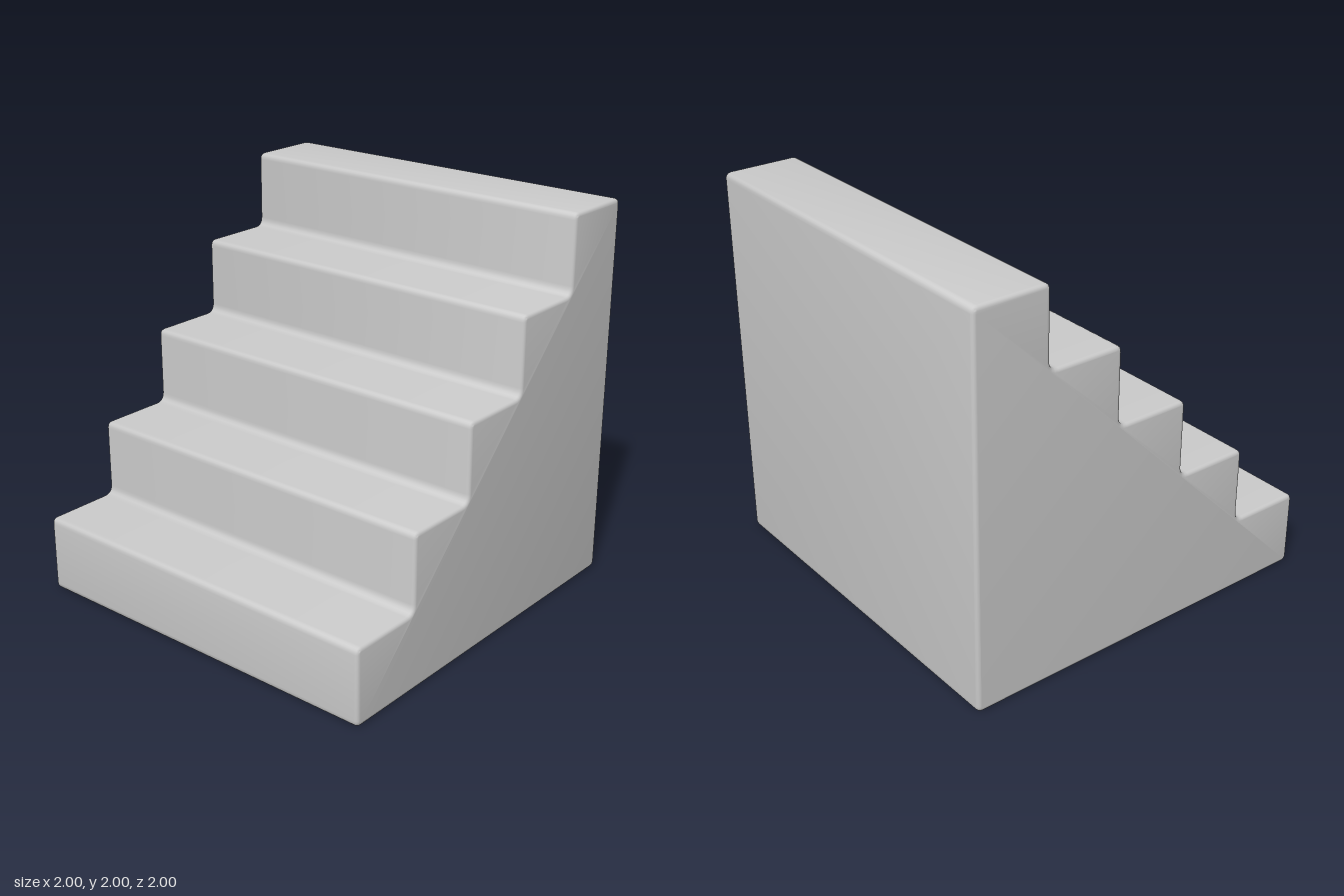
import * as THREE from 'three';
import { toCreasedNormals } from 'three/addons/utils/BufferGeometryUtils.js';

const STEPS = 5;
const SIZE = 2;
const STEP = SIZE / STEPS;
const BEVEL = 0.02;
const OUTER_ROUND = 0.033; // convex corners
const INNER_ROUND = 0.045; // corners between tread and riser

// Closed shape through the corners, each one rounded by its own amount
function roundedShape(corners) {
  const shape = new THREE.Shape();
  const n = corners.length;
  corners.forEach(({ p, r }, i) => {
    const prev = corners[(i + n - 1) % n].p;
    const next = corners[(i + 1) % n].p;
    const a = p.clone().add(prev.clone().sub(p).setLength(r));
    const b = p.clone().add(next.clone().sub(p).setLength(r));
    if (i === 0) shape.moveTo(a.x, a.y);
    else shape.lineTo(a.x, a.y);
    shape.quadraticCurveTo(p.x, p.y, b.x, b.y);
  });
  shape.closePath();
  return shape;
}

export function createModel() {
  const group = new THREE.Group();
  group.name = 'stairBlock';

  // Side profile: base, tall end wall, then the steps going down to -x
  const corner = (x, y, r = OUTER_ROUND) => ({ p: new THREE.Vector2(x, y), r });
  const corners = [corner(-1, 0), corner(1, 0), corner(1, SIZE)];
  for (let i = STEPS; i >= 1; i--) {
    const x = -1 + (i - 1) * STEP;
    corners.push(corner(x, i * STEP));
    if (i > 1) corners.push(corner(x, (i - 1) * STEP, INNER_ROUND));
  }

  // Solid flight of steps with softly bevelled edges
  const geometry = new THREE.ExtrudeGeometry(roundedShape(corners), {
    depth: SIZE - 2 * BEVEL,
    bevelEnabled: true,
    bevelThickness: BEVEL,
    bevelSize: BEVEL,
    bevelOffset: -BEVEL,
    bevelSegments: 4,
    curveSegments: 5,
  });
  geometry.translate(0, 0, -SIZE / 2 + BEVEL);

  const stairs = new THREE.Mesh(
    toCreasedNormals(geometry, 0.75),
    new THREE.MeshStandardMaterial({ color: 0xcccccc })
  );
  stairs.name = 'stairs';
  group.add(stairs);
  return group;
}
